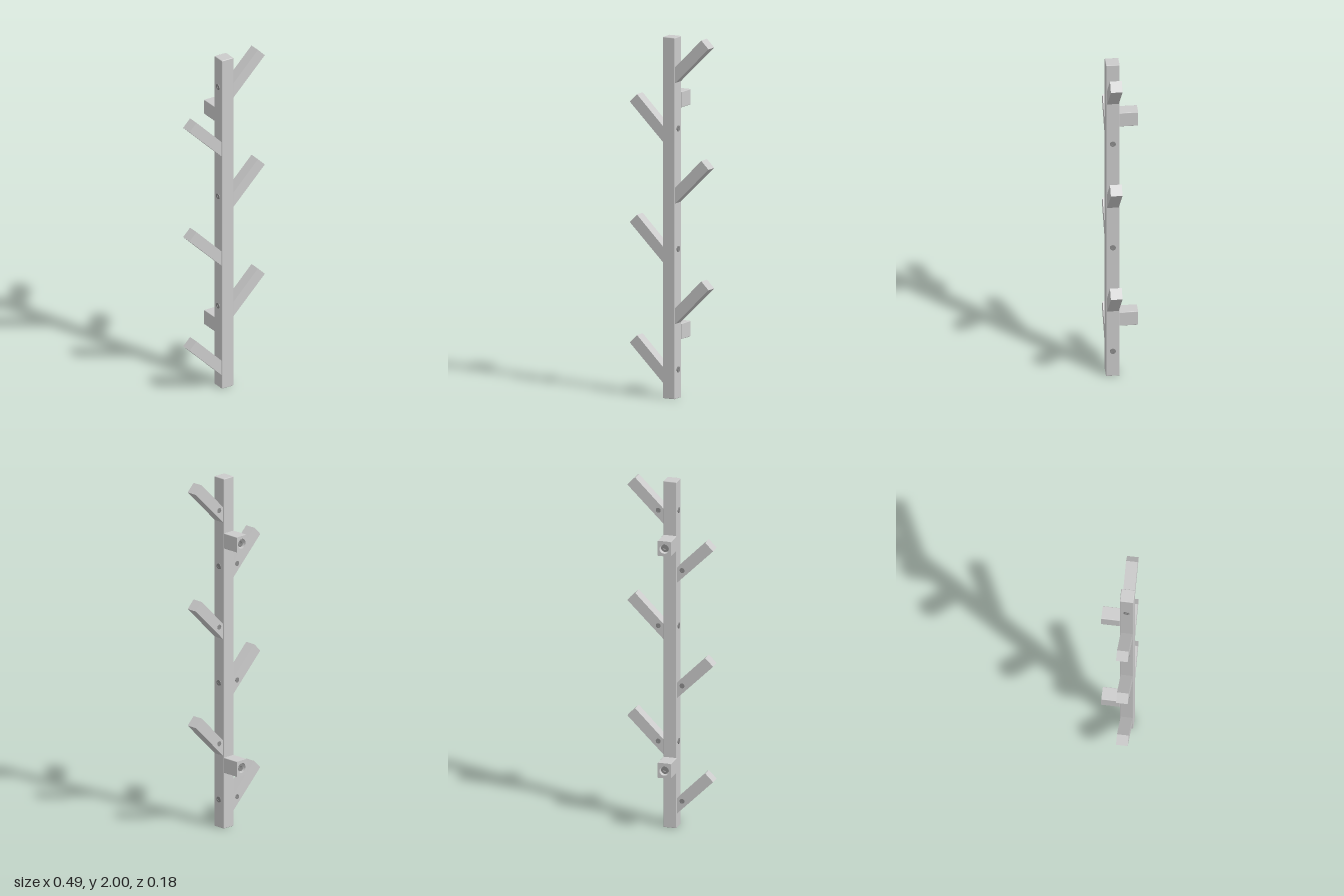
import * as THREE from 'three';
import { RoundedBoxGeometry } from 'three/addons/geometries/RoundedBoxGeometry.js';

const HALF = 0.0375;      // half width of the post
const POST_Z = 0.0505;    // the post sits forward of its wall spacers
const BRANCH_D = 0.064;

export function createModel() {
  const model = new THREE.Group();
  model.name = 'branchCoatRack';
  const body = new THREE.MeshStandardMaterial({ color: 0xcbcbcb });
  body.name = 'light grey';
  const metal = new THREE.MeshStandardMaterial({ color: 0x8c8c8c });
  metal.name = 'screw grey';

  const add = (parent, name, geometry, material, x = 0, y = 0, z = 0) => {
    const mesh = new THREE.Mesh(geometry, material);
    mesh.name = name;
    mesh.position.set(x, y, z);
    parent.add(mesh);
    return mesh;
  };

  const circle = (r) => new THREE.Path().absarc(0, 0, r, 0, Math.PI * 2, true);

  // Round head with a hexagonal socket, facing +z from its seat at z = 0
  const screw = (name, r, height) => {
    const group = new THREE.Group();
    group.name = name;
    const rim = new THREE.Shape().absarc(0, 0, r, 0, Math.PI * 2, false);
    const hex = [];
    for (let i = 0; i < 6; i++) {
      const a = -i * Math.PI / 3;
      hex.push(new THREE.Vector2(Math.cos(a) * r * 0.5, Math.sin(a) * r * 0.5));
    }
    rim.holes.push(new THREE.Path(hex));
    add(group, 'screwHead', new THREE.ExtrudeGeometry(rim,
      { depth: height, bevelEnabled: false, curveSegments: 12 }), metal);
    add(group, 'socketFloor', new THREE.CircleGeometry(r * 0.6, 12), metal, 0, 0, height * 0.3);
    return group;
  };

  // Upright post
  add(model, 'post', new RoundedBoxGeometry(HALF * 2, 2, HALF * 2, 2, 0.004), body, 0, 1, POST_Z);

  // Branches alternate from side to side, each cut flush against the post
  for (let i = 0; i < 6; i++) {
    const side = i % 2 ? 1 : -1;
    const tip = (i + 1) / 3;
    const outline = [
      [HALF - 0.002, -0.252], [0.245, -0.045], [0.2, 0], [HALF - 0.002, -0.1645],
    ].map(([x, y]) => new THREE.Vector2(x * side, y));
    const geometry = new THREE.ExtrudeGeometry(new THREE.Shape(outline),
      { depth: BRANCH_D, bevelEnabled: false });
    add(model, 'branch', geometry, body, 0, tip, POST_Z - BRANCH_D / 2);

    // Screw through the post from the opposite side
    const postScrew = screw('postScrew', 0.016, 0.004);
    postScrew.rotation.y = -side * Math.PI / 2;
    postScrew.position.set(-side * HALF, tip - 0.173, POST_Z);
    model.add(postScrew);

    // Locking screw in the back of the branch
    const branchScrew = screw('branchScrew', 0.014, 0.002);
    branchScrew.rotation.y = Math.PI;
    branchScrew.position.set(side * 0.068, tip - 0.174, POST_Z - BRANCH_D / 2);
    model.add(branchScrew);
  }

  // Wall spacers with a recessed screw in the back
  const H = 0.0435, W = HALF, R = 0.004;
  const block = new THREE.Shape()
    .moveTo(-W + R, -H).lineTo(W - R, -H).quadraticCurveTo(W, -H, W, -H + R)
    .lineTo(W, H - R).quadraticCurveTo(W, H, W - R, H)
    .lineTo(-W + R, H).quadraticCurveTo(-W, H, -W, H - R)
    .lineTo(-W, -H + R).quadraticCurveTo(-W, -H, -W + R, -H);
  block.holes.push(circle(0.028));
  const blockGeometry = new THREE.ExtrudeGeometry(block,
    { depth: 0.101, bevelEnabled: false, curveSegments: 12 });
  for (const y of [0.3635, 1.646]) {
    add(model, 'wallSpacer', blockGeometry, body, 0, y, -0.088);
    const floor = add(model, 'recessFloor', new THREE.CircleGeometry(0.029, 24), body, 0, y, -0.062);
    floor.rotation.y = Math.PI;
    const spacerScrew = screw('spacerScrew', 0.021, 0.016);
    spacerScrew.rotation.y = Math.PI;
    spacerScrew.position.set(0, y, -0.062);
    model.add(spacerScrew);
  }

  return model;
}
